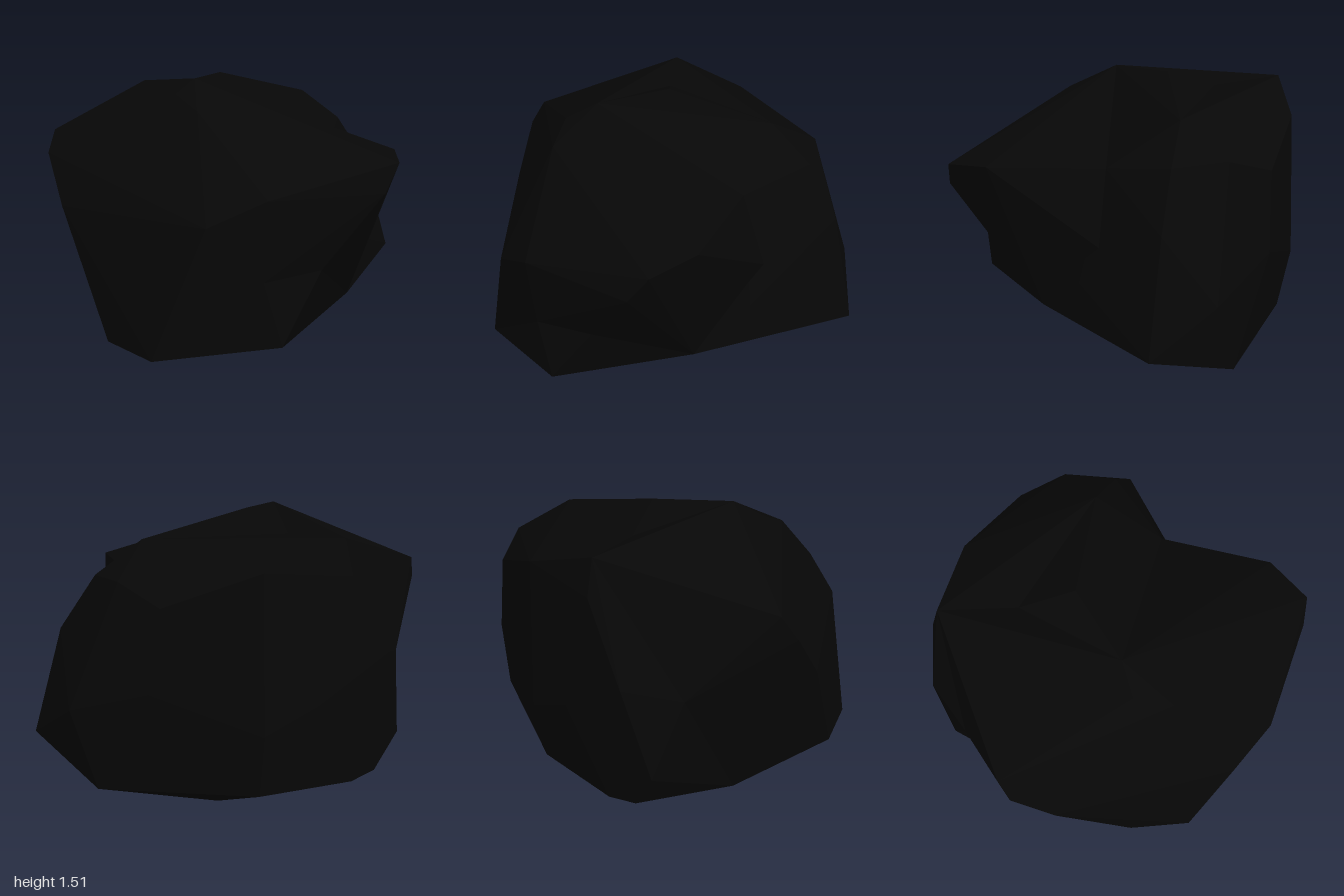
import * as THREE from 'three';
import { ConvexGeometry } from 'three/addons/geometries/ConvexGeometry.js';

// A faceted boulder: two overlapping masses that meet in a notch.
const stone = new THREE.MeshStandardMaterial({ color: 0x070707, flatShading: true });
stone.name = 'blackStone';

// Wraps a hull round the corners. Each dent is a corner and an outward offset:
// the hull is made with the corner moved out, which is then pressed back in.
function rockMass(name, corners, dents) {
  const points = corners.map((c) => new THREE.Vector3(...c));
  const pressed = dents.map(([corner, offset]) => {
    const inner = new THREE.Vector3(...corner);
    return { inner, outer: inner.clone().add(new THREE.Vector3(...offset)) };
  });
  const geometry = new ConvexGeometry([...points, ...pressed.map((p) => p.outer)]);
  const position = geometry.attributes.position;
  const v = new THREE.Vector3();
  for (let i = 0; i < position.count; i++) {
    v.fromBufferAttribute(position, i);
    const dent = pressed.find((p) => p.outer.distanceTo(v) < 1e-4);
    if (dent) position.setXYZ(i, dent.inner.x, dent.inner.y, dent.inner.z);
  }
  geometry.computeVertexNormals();
  const mesh = new THREE.Mesh(geometry, stone);
  mesh.name = name;
  return mesh;
}

export function createModel() {
  const group = new THREE.Group();
  group.name = 'boulder';

  // corners that both masses share: left flank, keel and front foot
  const shared = [
    [-1, 1.12, -0.24], [-0.95, 1.23, -0.3], [-0.98, 0.88, -0.05],
    [-0.46, 1.42, 0.18], [-0.33, 1.49, 0.09],
    [-0.86, 0.28, 0.3], [-0.74, 0.27, 0.6], [-0.2, 0.33, 0.82],
    [-0.19, 0, -0.21], [0.38, 0.39, 0.4], [0.6, 0.81, 0.07], [0.46, 1.16, 0.06],
  ];

  // rear mass with the hollowed plateau and the side point
  group.add(rockMass('rearMass', [
    ...shared,
    // plateau rim
    [-0.08, 1.51, -0.2], [0.46, 1.4, -0.28], [0.62, 1.26, -0.5], [0.48, 1.18, -0.7],
    [0.06, 1.33, -0.82], [-0.33, 1.45, -0.78], [-0.6, 1.34, -0.53],
    // side point
    [0.68, 1.24, -0.25], [0.85, 0.99, -0.22], [0.86, 0.67, -0.47], [1, 0.46, -0.18],
    [0.58, 0.62, 0.18], [0.76, 0.3, -0.56],
    // back face
    [-0.35, 1.29, -0.83], [-0.2, 0.72, -0.87], [0.06, 0.6, -0.87], [0.54, 0.8, -0.71],
    [-0.55, 0.93, -0.84], [-0.66, 0.49, -0.77],
    // lower rim of the back
    [-0.55, 0.3, -0.77], [-0.41, 0.28, -0.81], [0.06, 0.28, -0.82],
    // underside
    [0.15, 0.08, -0.46], [-0.73, 0.24, -0.3],
  ], [
    [[-0.2, 1.42, -0.44], [0, 0.09, 0]],        // plateau hollow
    [[-0.71, 0.85, -0.62], [-0.08, 0, -0.08]],  // back corner hollow
  ]));

  // front mass with the shelf and the overhanging side
  group.add(rockMass('frontMass', [
    ...shared,
    [-0.42, 1.35, 0.36],
    [0.37, 1.13, 0.84], [0.49, 1.16, 0.62], [0.28, 1.0, 0.87],
    [-0.28, 1.0, 0.83], [-0.52, 0.88, 0.72],
  ], [
    [[0.02, 0.65, 0.77], [0.03, 0, 0.1]],       // hollow on the overhang edge
    [[-0.28, 0.63, 0.79], [0, 0, 0.06]],        // hollow in the front face
  ]));

  return group;
}
